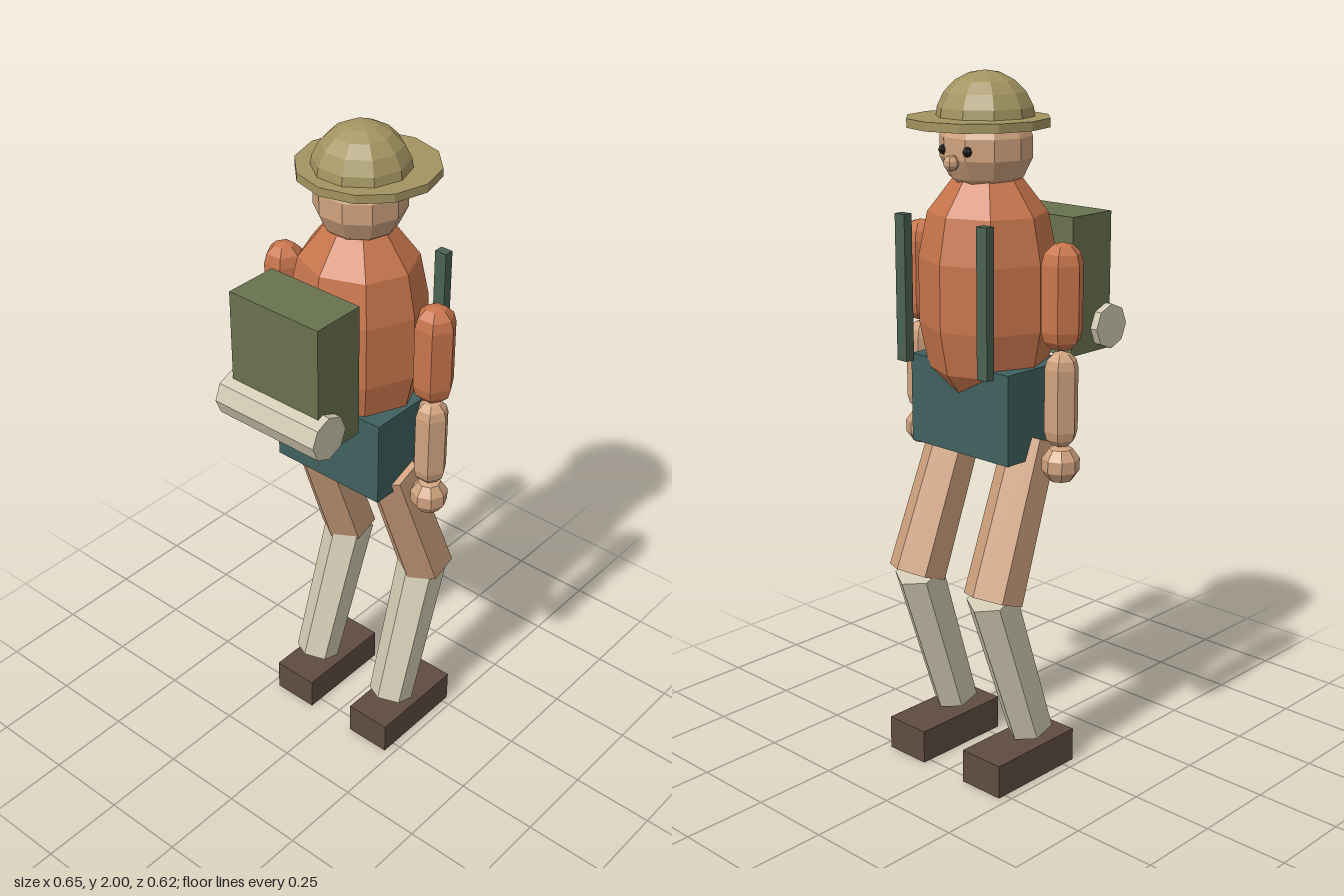
import * as THREE from 'three';

const paint = (name, color) => {
  const m = new THREE.MeshStandardMaterial({ color });
  m.name = name;
  return m;
};

export function createModel() {
  const root = new THREE.Group();
  root.name = 'hiker';

  const shirt = paint('rust shirt', 0xc8754c);
  const skin = paint('skin', 0xcfa27e);
  const hatTan = paint('khaki hat', 0xa39461);
  const olive = paint('olive pack', 0x69724e);
  const teal = paint('teal shorts', 0x40605f);
  const strapGreen = paint('dark green strap', 0x4a6152);
  const cream = paint('cream cloth', 0xd0c9b2);
  const leather = paint('brown leather', 0x5f4c41);
  const black = paint('eye black', 0x22201e);

  // Faceted mesh: unshared vertices give every face its own normal
  const add = (name, geometry, material, x = 0, y = 0, z = 0) => {
    const flat = geometry.index ? geometry.toNonIndexed() : geometry;
    flat.computeVertexNormals();
    const mesh = new THREE.Mesh(flat, material);
    mesh.name = name;
    mesh.position.set(x, y, z);
    root.add(mesh);
    return mesh;
  };
  const box = (name, mat, w, h, d, x, y, z) =>
    add(name, new THREE.BoxGeometry(w, h, d), mat, x, y, z);

  // Faceted capsule: straight middle of half height `half`, caps of height `cap`
  const capsule = (r, half, cap, sides) => {
    const pts = [];
    for (let i = 0; i <= 3; i++) {
      const a = (i * Math.PI) / 6;
      pts.push(new THREE.Vector2(r * Math.sin(a), -half - cap * Math.cos(a)));
    }
    const top = pts.map((p) => new THREE.Vector2(p.x, -p.y)).reverse();
    return new THREE.LatheGeometry([...pts, ...top], sides);
  };

  // Tapered hexagonal limb between two points
  const limb = (name, mat, from, to, r0, r1) => {
    const a = new THREE.Vector3(...from), b = new THREE.Vector3(...to);
    const axis = a.clone().sub(b);
    const mesh = add(name, new THREE.CylinderGeometry(r0, r1, axis.length(), 6), mat);
    mesh.position.copy(a).add(b).multiplyScalar(0.5);
    mesh.quaternion.setFromUnitVectors(new THREE.Vector3(0, 1, 0), axis.normalize());
  };

  // Torso and shorts
  add('torso', capsule(0.195, 0.092, 0.248, 8), shirt, 0, 1.407, -0.08).scale.z = 0.95;
  box('shorts', teal, 0.372, 0.255, 0.25, 0, 1.088, -0.073);

  // Head and nose
  add('head', new THREE.SphereGeometry(0.13, 10, 7), skin, 0, 1.8, -0.085);
  add('nose', new THREE.SphereGeometry(0.022, 6, 5), skin, 0, 1.766, -0.217);

  // Hat
  add('hatBrim', new THREE.CylinderGeometry(0.196, 0.196, 0.024, 12), hatTan, 0, 1.868, -0.115);
  add('hatDome',
    new THREE.SphereGeometry(0.137, 10, 5, 0, Math.PI * 2, 0, Math.PI / 2),
    hatTan, 0, 1.863, -0.088);

  // Backpack with bedroll
  box('backpack', olive, 0.306, 0.394, 0.163, 0, 1.404, 0.179);
  add('bedroll', new THREE.CylinderGeometry(0.065, 0.065, 0.352, 8), cream, 0, 1.275, 0.243)
    .rotation.z = Math.PI / 2;

  // Paired parts
  for (const [side, s] of [['left', 1], ['right', -1]]) {
    const armX = 0.268 * s, armZ = -0.075;
    add(side + 'Eye', new THREE.SphereGeometry(0.014, 6, 4), black, 0.045 * s, 1.797, -0.202);
    box(side + 'Strap', strapGreen, 0.037, 0.41, 0.028, 0.154 * s, 1.415, -0.25);

    // Arms
    add(side + 'Sleeve', capsule(0.059, 0.09, 0.057, 6), shirt, armX, 1.424, armZ)
      .rotation.y = Math.PI / 2;
    add(side + 'Forearm', capsule(0.048, 0.087, 0.047, 6), skin, armX, 1.143, armZ)
      .rotation.y = Math.PI / 2;
    add(side + 'Hand', new THREE.SphereGeometry(0.055, 8, 5), skin, armX, 0.96, armZ);

    // Legs
    limb(side + 'Thigh', skin, [0.141 * s, 1.005, -0.055], [0.152 * s, 0.571, -0.222], 0.076, 0.085);
    limb(side + 'Sock', cream, [0.145 * s, 0.577, -0.22], [0.153 * s, 0.127, -0.069], 0.074, 0.067);
    box(side + 'Boot', leather, 0.143, 0.1, 0.316, 0.152 * s, 0.05, -0.116);
  }
  return root;
}
